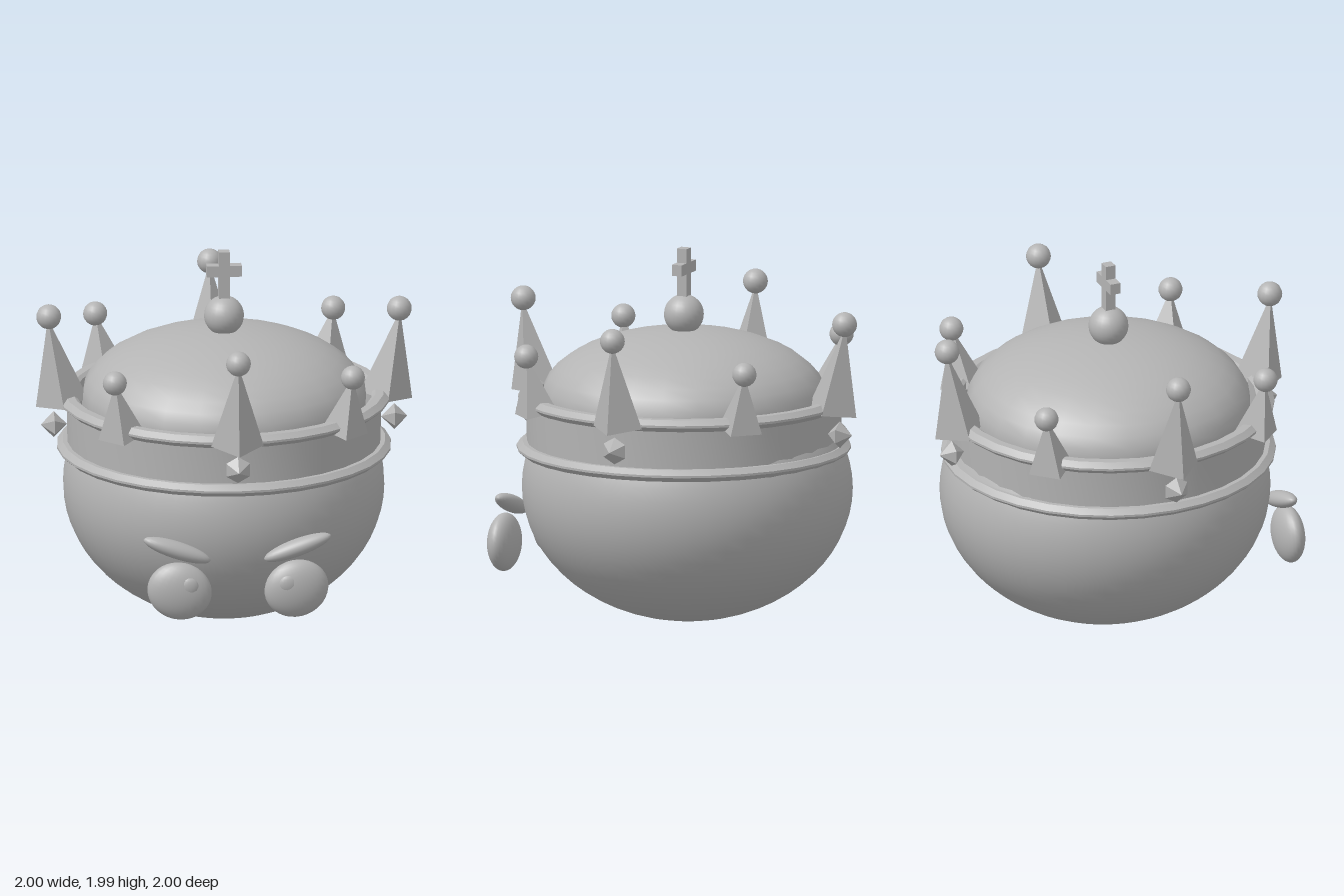
import * as THREE from 'three';
import { toCreasedNormals } from 'three/addons/utils/BufferGeometryUtils.js';

export function createModel() {
  const model = new THREE.Group();
  model.name = 'crownedBall';
  const grey = new THREE.MeshStandardMaterial({ color: 0xb4b4b4 });
  grey.name = 'grey';

  const add = (name, geometry, x = 0, y = 0, z = 0, parent = model) => {
    const mesh = new THREE.Mesh(geometry, grey);
    mesh.name = name;
    mesh.position.set(x, y, z);
    parent.add(mesh);
    return mesh;
  };
  const ellipsoid = (rx, ry, rz, w = 28, h = 18) =>
    new THREE.SphereGeometry(1, w, h).scale(rx, ry, rz);
  const faceted = (g) => toCreasedNormals(g, 0.1);
  const turned = (pts, segments) => toCreasedNormals(
    new THREE.LatheGeometry(pts.map(([r, y]) => new THREE.Vector2(r, y)), segments), 0.45);

  // Round body
  add('body', ellipsoid(0.85, 0.71, 0.88, 48, 32), 0, 0.72, -0.02);

  // Crown band, a thin-walled hoop
  add('crownBand', turned([[0.83, 0.92], [0.835, 1.2], [0.79, 1.2], [0.79, 0.92], [0.83, 0.92]], 32));

  // Bevelled rims above and below the band
  const rim = (outer, inner) => turned([
    [inner, -0.018], [outer - 0.03, -0.032], [outer, -0.006], [outer, 0.006],
    [outer - 0.03, 0.032], [inner + 0.02, 0.032], [inner, 0.018], [inner, -0.018]], 32);
  add('lowerRim', rim(0.885, 0.79), 0, 0.935, 0);
  add('upperRim', rim(0.878, 0.785), 0, 1.202, 0);

  // Domed cap inside the crown
  const cap = [[0.74, 1.0], [0.755, 1.2]];
  for (let i = 1; i <= 10; i++) {
    const a = (i / 10) * Math.PI / 2;
    cap.push([i === 10 ? 0 : 0.755 * Math.cos(a), 1.2 + 0.365 * Math.sin(a)]);
  }
  add('cap', turned(cap, 24));

  // Eight leaning spikes with balls, alternately large and small
  for (let i = 0; i < 8; i++) {
    const large = i % 2 === 0;
    const s = large
      ? { r: 0.14, h: 0.47, base: 0.86, y: 1.185, tilt: 0.16, ball: 0.93, ballY: 1.66, size: 0.066 }
      : { r: 0.125, h: 0.31, base: 0.835, y: 1.17, tilt: 0.18, ball: 0.893, ballY: 1.477, size: 0.064 };
    const point = new THREE.Group();
    point.name = large ? 'largePoint' : 'smallPoint';
    point.rotation.y = i * Math.PI / 4;
    model.add(point);
    const cone = new THREE.ConeGeometry(s.r, s.h, 4, 1, false, large ? 0 : Math.PI / 4)
      .translate(0, s.h / 2, 0);
    add('spike', faceted(cone), s.base, s.y, 0, point).rotation.z = -s.tilt;
    add('spikeBall', new THREE.SphereGeometry(s.size, 16, 12), s.ball, s.ballY, 0, point);

    // Six-sided gem below each large spike
    if (large) {
      const gem = new THREE.LatheGeometry(
        [[0, -0.07], [0.072, 0], [0, 0.07]].map(([r, y]) => new THREE.Vector2(r, y)), 6);
      gem.rotateY(Math.PI / 2).rotateZ(-Math.PI / 2);
      add('gem', faceted(gem), 0.903, 1.065, 0, point);
    }
  }

  // Orb and cross on top
  add('orb', new THREE.SphereGeometry(0.106, 24, 16), 0, 1.645, 0);
  add('crossPost', new THREE.BoxGeometry(0.058, 0.27, 0.056), 0, 1.865, 0);
  add('crossArm', new THREE.BoxGeometry(0.186, 0.06, 0.056), 0, 1.894, 0);

  // Eyes, pupils and slanted brows
  for (const side of [-1, 1]) {
    const eye = add('eye', ellipsoid(0.172, 0.155, 0.076), side * 0.31, 0.403, 0.9);
    eye.rotation.set(0, side * 0.06, side * 0.3);
    add('pupil', ellipsoid(0.052, 0.052, 0.022, 18, 10), side * 0.263, 0.44, 0.955);
    const brow = add('brow', ellipsoid(0.188, 0.046, 0.055), side * 0.32, 0.615, 0.855);
    brow.rotation.z = side * 0.34;
  }
  return model;
}
